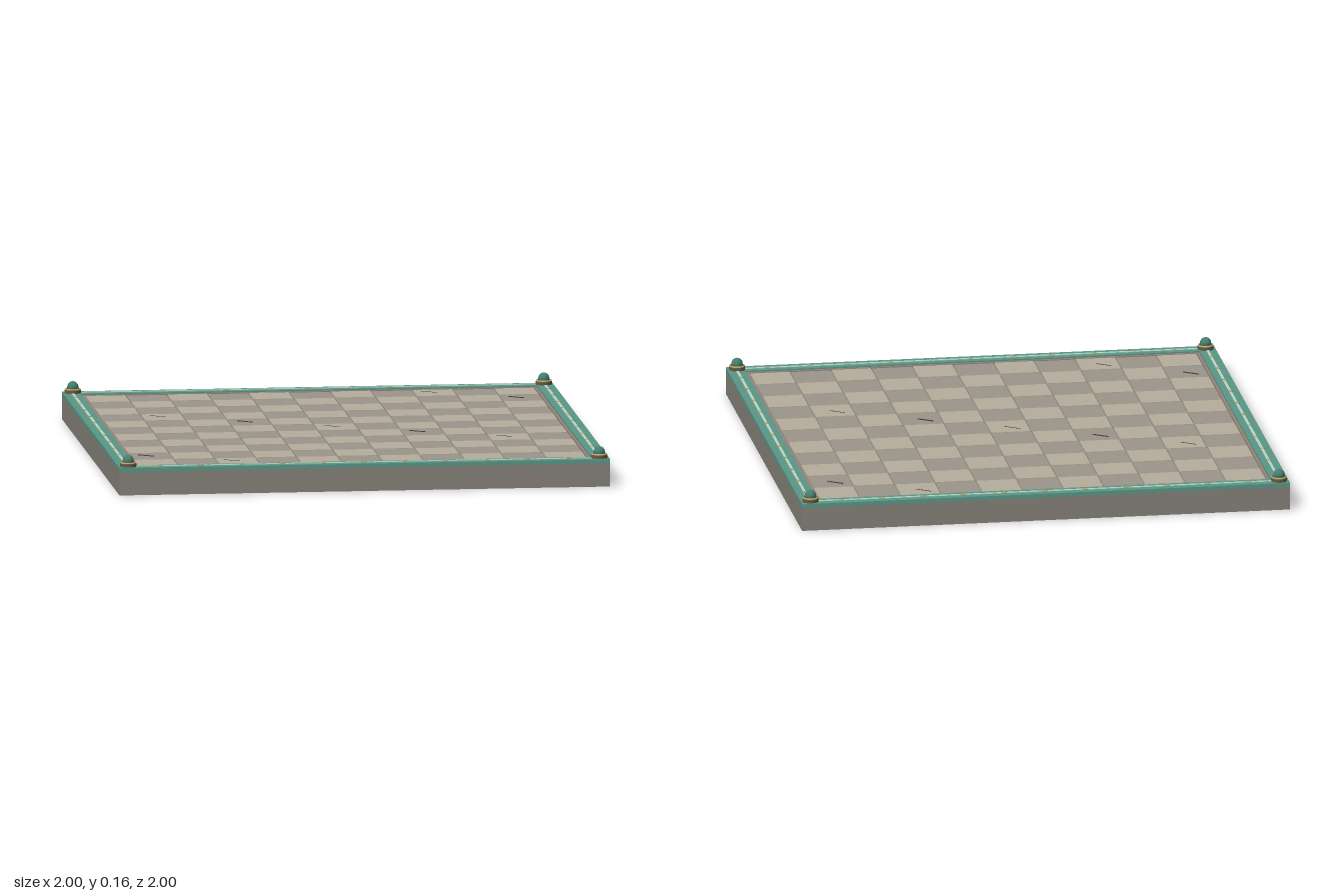
import * as THREE from 'three';

const mat = (color) => new THREE.MeshStandardMaterial({ color });

export function createModel() {
  const root = new THREE.Group();
  root.name = 'tiledFloor';
  const stone = mat(0x858078), grout = mat(0x8f887e), light = mat(0xb5ae9e), dark = mat(0x9d958a);
  const teal = mat(0x5a9686), inlay = mat(0xb5d8c4), gold = mat(0xc2a868), clay = mat(0x94837a);
  const bronze = mat(0x655a43), jade = mat(0x447f70), crackMat = mat(0x45423e);

  function add(parent, name, geometry, material, x = 0, y = 0, z = 0) {
    const mesh = new THREE.Mesh(geometry, material);
    mesh.name = name;
    mesh.position.set(x, y, z);
    parent.add(mesh);
    return mesh;
  }
  const box = (w, h, d) => new THREE.BoxGeometry(w, h, d);

  // Stone slab and the grout bed under the tiles
  add(root, 'slab', box(2, 0.096, 2), stone, 0, 0.048, 0);
  add(root, 'groutBed', box(1.86, 0.004, 1.86), grout, 0, 0.098, 0);

  // Checkerboard of 11 x 11 tiles, the light ones a touch higher
  const count = 11, step = 1 / 6;
  const tiles = new THREE.Group();
  tiles.name = 'tiles';
  root.add(tiles);
  const lightTile = box(0.16, 0.008, 0.16), darkTile = box(0.162, 0.006, 0.162);
  for (let i = 0; i < count; i++) {
    for (let j = 0; j < count; j++) {
      const isLight = (i + j) % 2 === 0;
      add(tiles, isLight ? 'lightTile' : 'darkTile', isLight ? lightTile : darkTile,
        isLight ? light : dark, (i - 5) * step, isLight ? 0.102 : 0.101, (j - 5) * step);
    }
  }

  // Four border sides: teal rail, pale inlay, clay inner trim and gold studs
  const studShape = box(0.024, 0.004, 0.007);
  const studTip = new THREE.CylinderGeometry(0.009, 0.009, 0.005, 4);
  for (let k = 0; k < 4; k++) {
    const side = new THREE.Group();
    side.name = 'borderSide';
    side.rotation.y = k * Math.PI / 2;
    root.add(side);
    add(side, 'rail', box(1.93, 0.016, 0.07), teal, -0.035, 0.104, 0.965);
    add(side, 'inlay', box(1.9, 0.004, 0.011), inlay, 0, 0.1125, 0.963);
    add(side, 'innerTrim', box(1.85, 0.007, 0.012), clay, 0, 0.1035, 0.923);
    for (let i = 0; i < count; i++) {
      const x = (i - 5) * step;
      add(side, 'stud', studShape, gold, x, 0.1135, 0.965);
      add(side, 'studDiamond', studTip, gold, x, 0.1135, 0.965);
    }
  }

  // Corner knobs: stepped bronze base, ring and jade dome
  const baseProfile = [[0, 0.108], [0.033, 0.108], [0.033, 0.125], [0.028, 0.131], [0, 0.131]]
    .map(([r, y]) => new THREE.Vector2(r, y));
  const base = new THREE.LatheGeometry(baseProfile, 16).toNonIndexed();
  base.computeVertexNormals();
  const ring = new THREE.TorusGeometry(0.028, 0.004, 8, 24).rotateX(Math.PI / 2);
  const dome = new THREE.SphereGeometry(0.023, 16, 12);
  for (const sx of [-1, 1]) {
    for (const sz of [-1, 1]) {
      const knob = new THREE.Group();
      knob.name = 'cornerKnob';
      knob.position.set(sx * 0.96, 0, sz * 0.96);
      root.add(knob);
      add(knob, 'knobBase', base, bronze);
      add(knob, 'knobRing', ring, gold, 0, 0.127, 0);
      add(knob, 'knobDome', dome, jade, 0, 0.137, 0);
    }
  }

  // Thin slanted cracks scattered over the tiles
  const cracks = [[0.48, -0.855], [0.815, -0.685], [-0.685, -0.355], [-0.35, -0.185], [-0.015, -0.02],
    [0.315, 0.145], [0.65, 0.315], [-0.85, 0.645], [-0.52, 0.815]];
  const crack = box(0.07, 0.003, 0.005);
  for (const [x, z] of cracks) {
    add(root, 'crack', crack, crackMat, x, 0.1055, z).rotation.y = -0.62;
  }
  return root;
}
